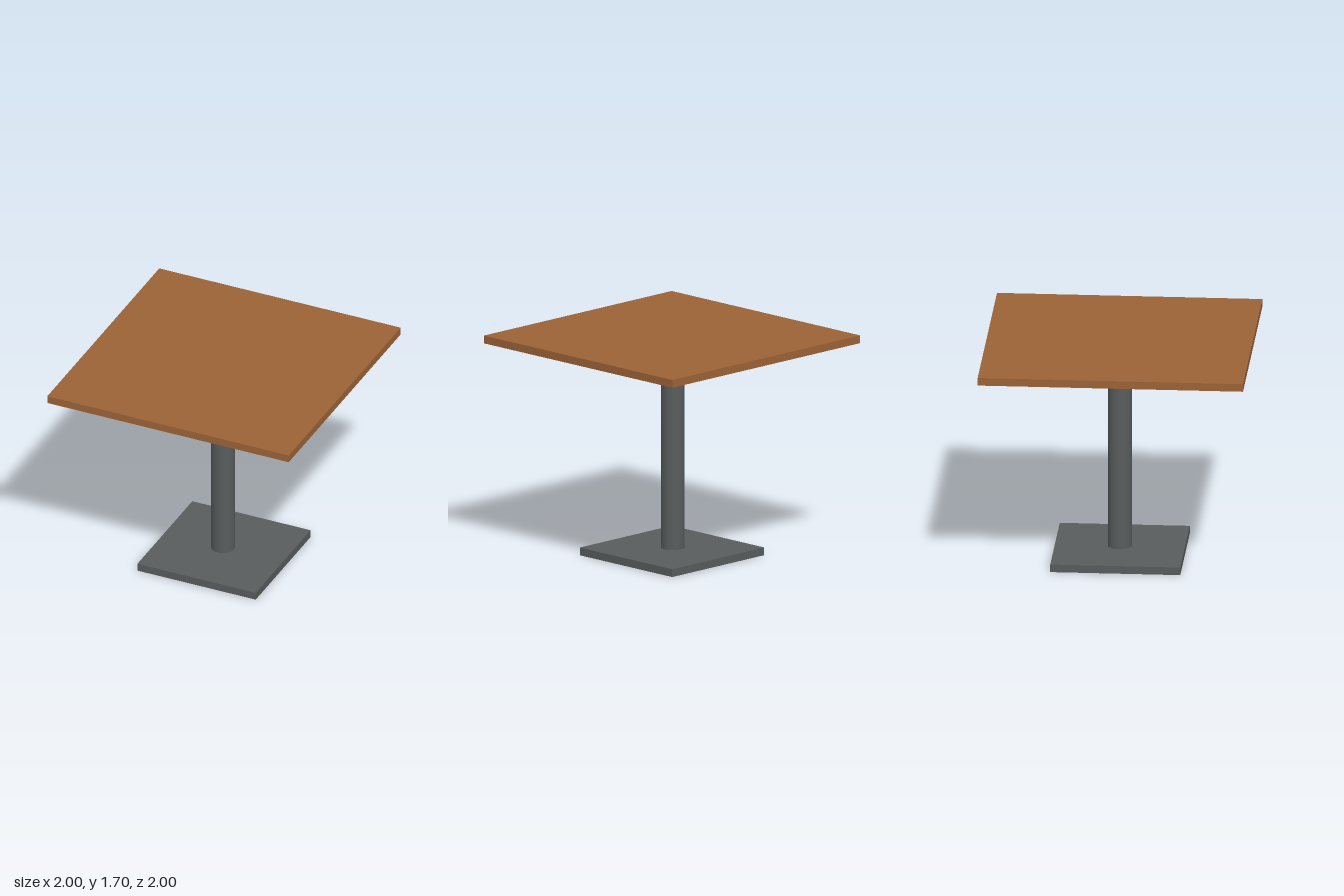
import * as THREE from 'three';

export function createModel() {
  const group = new THREE.Group();
  const wood = new THREE.MeshStandardMaterial({ color: 0x9c6336 });
  wood.name = 'brown wood';
  const metal = new THREE.MeshStandardMaterial({ color: 0x585c5c });
  metal.name = 'grey metal';

  // Adds a part spanning the heights y0 to y1
  const add = (name, geometry, material, y0, y1, x = 0) => {
    const mesh = new THREE.Mesh(geometry, material);
    mesh.name = name;
    mesh.position.set(x, (y0 + y1) / 2, 0);
    group.add(mesh);
  };
  const slab = (name, width, y0, y1, material) =>
    add(name, new THREE.BoxGeometry(width, y1 - y0, width), material, y0, y1);

  // Square foot, support plate and table top
  slab('base', 0.98, 0, 0.06, metal);
  slab('supportPlate', 1.375, 1.595, 1.637, metal);
  slab('tableTop', 2, 1.64, 1.7, wood);

  // Round column, very slightly off centre
  add('column', new THREE.CylinderGeometry(0.09, 0.09, 1.54, 48), metal, 0.058, 1.598, -0.008);

  return group;
}
